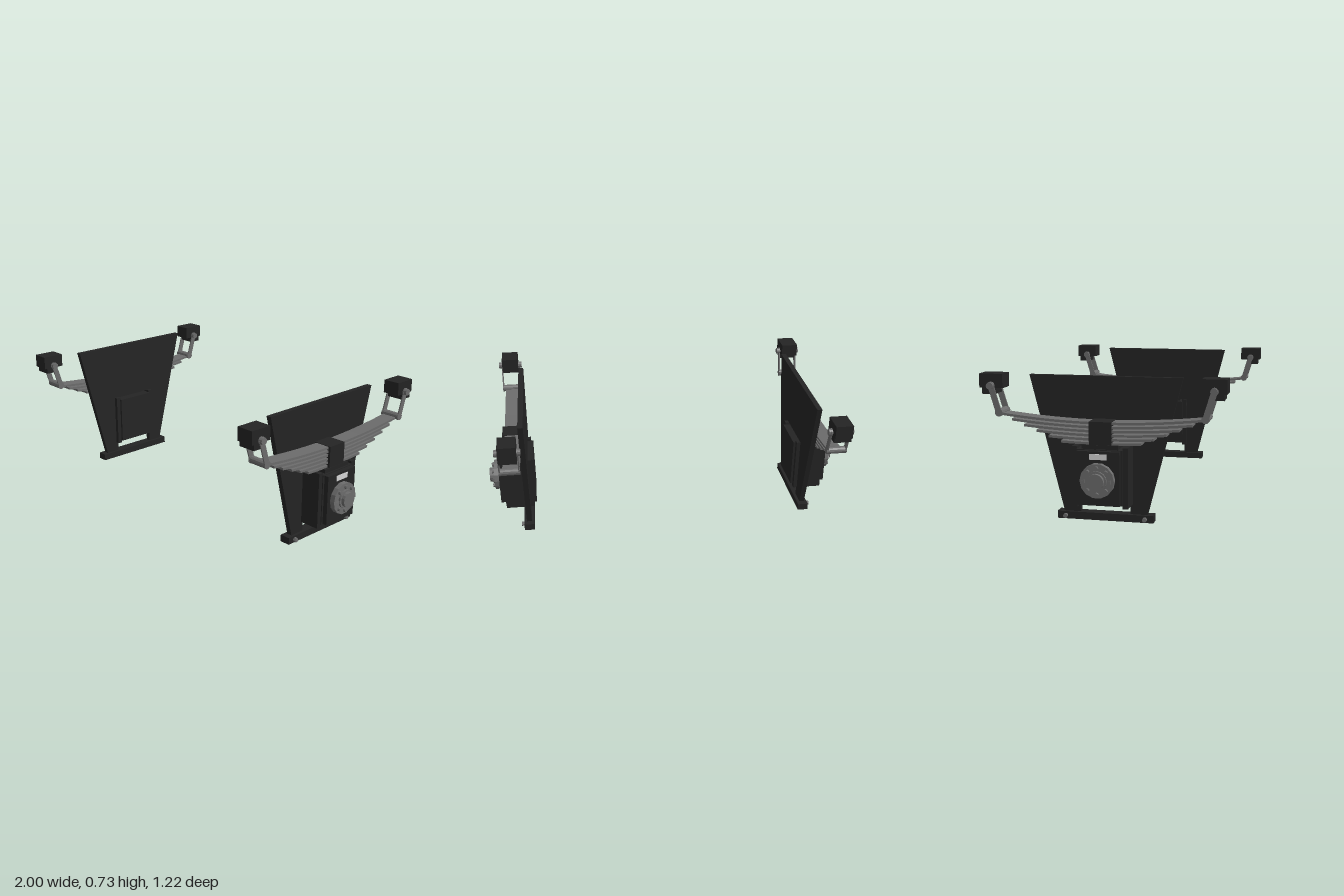
import * as THREE from 'three';

const mat = (name, color) => {
  const m = new THREE.MeshStandardMaterial({ color });
  m.name = name;
  return m;
};

export function createModel() {
  const black = mat('blackPaint', 0x242424);
  const steel = mat('steel', 0x6c6c6c);
  const pale = mat('paleMetal', 0xd6d6d6);
  steel.flatShading = true;

  // One suspension unit, built on the model's left (+x) side
  function createUnit(name) {
    const unit = new THREE.Group();
    unit.name = name;
    const add = (part, geo, material) => {
      const mesh = new THREE.Mesh(geo, material);
      mesh.name = part;
      unit.add(mesh);
      return mesh;
    };
    // Box given by its limits on each axis
    const box = (part, x0, x1, y0, y1, z0, z1, material = black) =>
      add(part, new THREE.BoxGeometry(x1 - x0, y1 - y0, z1 - z0), material)
        .position.set((x0 + x1) / 2, (y0 + y1) / 2, (z0 + z1) / 2);
    // Cylinder lying along x
    const rod = (part, x0, x1, y, z, r, sides = 12, material = steel, r1 = r) => {
      const geo = new THREE.CylinderGeometry(r, r1, x1 - x0, sides).rotateZ(-Math.PI / 2);
      add(part, geo, material).position.set((x0 + x1) / 2, y, z);
    };
    // Outline drawn in (z, y), extruded from x0 to x1
    const slab = (part, shape, x0, x1, material) => {
      const geo = new THREE.ExtrudeGeometry(shape, { depth: x1 - x0, bevelEnabled: false });
      geo.rotateY(-Math.PI / 2).translate(x1, 0, 0);
      add(part, geo, material);
    };
    const outline = (pts) => new THREE.Shape(pts.map(([z, y]) => new THREE.Vector2(z, y)));

    // Horn plate, open at the bottom around the axle box
    slab('hornPlate', outline([
      [-0.385, 0.72], [-0.21, 0.03], [-0.127, 0.03], [-0.127, 0.39],
      [0.127, 0.39], [0.127, 0.03], [0.21, 0.03], [0.385, 0.72],
    ]), 0.778, 0.806, black);
    box('keeperBar', 0.763, 0.82, 0, 0.037, -0.245, 0.245);

    // Axle box with its guides and saddle
    box('axleBox', 0.745, 0.92, 0.105, 0.378, -0.115, 0.115);
    box('axleBoxCover', 0.92, 0.945, 0.108, 0.374, -0.105, 0.105);
    box('springSaddle', 0.80, 0.91, 0.375, 0.398, -0.09, 0.09);
    box('namePlate', 0.945, 0.949, 0.334, 0.362, -0.042, 0.042, pale);

    // Hub
    const hubY = 0.235;
    rod('hubFlange', 0.945, 0.972, hubY, 0, 0.085, 14);
    rod('hubStep', 0.972, 0.982, hubY, 0, 0.05, 16);
    rod('hubCap', 0.982, 1.0, hubY, 0, 0.04, 16);
    for (let i = 0; i < 8; i++) {
      const a = i * Math.PI / 4;
      rod('hubBolt', 0.972, 0.985, hubY + 0.064 * Math.sin(a), 0.064 * Math.cos(a),
        0.01, i % 4 === 0 ? 3 : 8);
    }

    // Leaf spring: each lower leaf is shorter
    for (let i = 0; i < 6; i++) {
      const half = 0.51 - 0.0622 * i, mid = 0.502 - 0.02 * i, t = 0.006;
      const top = [], bottom = [];
      for (let k = 0; k <= 16; k++) {
        const z = half * (k / 8 - 1), y = mid + 0.122 * z * z;
        top.push([z, y + t]);
        bottom.unshift([z, y - t]);
      }
      slab('springLeaf', outline([...top, ...bottom]), 0.816, 0.896, steel);
    }
    box('springBuckle', 0.806, 0.908, 0.39, 0.511, -0.055, 0.055);

    // Parts at both ends of the spring
    for (const s of [-1, 1]) {
      const span = (part, x0, x1, y0, y1, a, b) =>
        box(part, x0, x1, y0, y1, Math.min(s * a, s * b), Math.max(s * a, s * b));
      span('hornGuide', 0.757, 0.915, 0.09, 0.39, 0.113, 0.14);
      rod('keeperBolt', 0.82, 0.836, 0.017, s * 0.202, 0.012, 6);
      rod('springEye', 0.81, 0.904, 0.54, s * 0.51, 0.019);

      // Frame bracket and shackle
      span('frameBracket', 0.812, 0.905, 0.66, 0.73, 0.49, 0.61);
      span('bracketLug', 0.812, 0.905, 0.63, 0.66, 0.53, 0.596);
      rod('shacklePin', 0.792, 0.926, 0.672, s * 0.55, 0.018);
      const dz = s * 0.04, dy = 0.132;
      for (const x of [0.808, 0.908]) {
        const link = add('shackleLink',
          new THREE.BoxGeometry(0.007, Math.hypot(dz, dy), 0.03), steel);
        link.position.set(x, 0.54 + dy / 2, s * 0.51 + dz / 2);
        link.rotation.x = Math.atan2(dz, dy);
        rod('shackleEnd', x - 0.004, x + 0.004, 0.54, s * 0.51, 0.02);
        rod('shackleEnd', x - 0.004, x + 0.004, 0.672, s * 0.55, 0.02);
      }
    }
    return unit;
  }

  const model = new THREE.Group();
  model.name = 'axleSuspension';
  const left = createUnit('leftSuspension');
  const right = createUnit('rightSuspension');
  right.rotation.y = Math.PI;
  model.add(left, right);
  return model;
}
